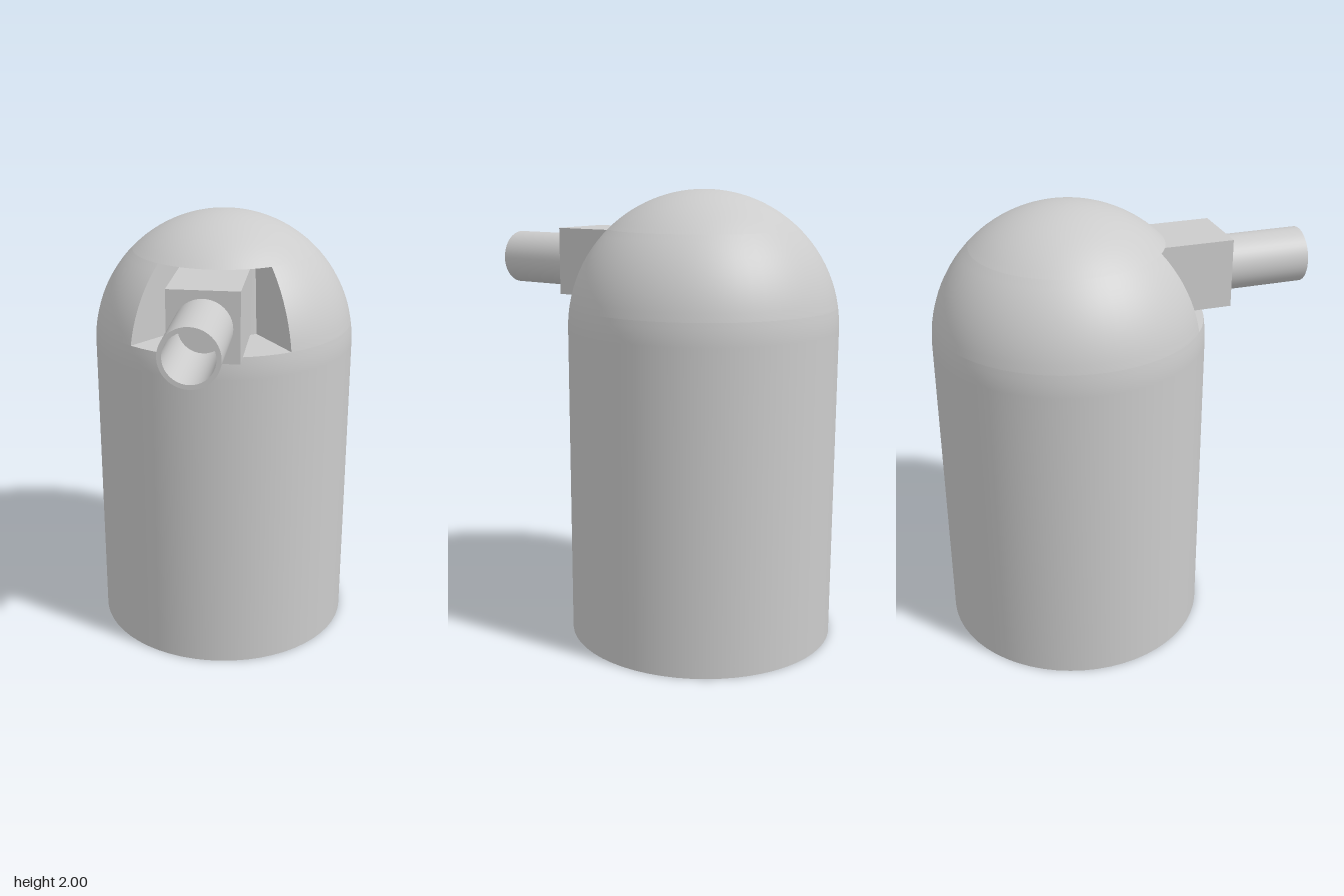
import * as THREE from 'three';

const R = 0.597;              // body radius
const CY = 2 - R;             // height of the dome centre
const FLOOR = 1.5, CEIL = 1.83; // opening bottom and top
const HALF = Math.PI / 5;     // half angle of the opening
const IN_LOW = 0.298, IN_HIGH = 0.281; // depth radii of the opening's back

const material = new THREE.MeshStandardMaterial({ color: 0xcccccc });
const openMaterial = new THREE.MeshStandardMaterial({ color: 0xcccccc, side: THREE.DoubleSide });

const V = (x, y) => new THREE.Vector2(x, y);

function add(parent, name, geometry, mat = material) {
  const mesh = new THREE.Mesh(geometry, mat);
  mesh.name = name;
  parent.add(mesh);
  return mesh;
}

// Points on the dome's profile between two heights
function domeArc(y0, y1, steps) {
  const a0 = Math.asin((y0 - CY) / R);
  const a1 = Math.asin(Math.min(1, (y1 - CY) / R));
  return Array.from({ length: steps + 1 }, (_, i) => {
    const a = a0 + (a1 - a0) * i / steps;
    return V(Math.max(0, R * Math.cos(a)), CY + R * Math.sin(a));
  });
}

export function createModel() {
  const model = new THREE.Group();
  model.name = 'domedTurret';

  const body = new THREE.Group();
  body.name = 'body';
  body.position.z = -0.24;
  model.add(body);

  // Domed shell, with the opening left out of the middle band
  const band = domeArc(FLOOR, CEIL, 10);
  add(body, 'base', new THREE.LatheGeometry([V(0, 0), V(R, 0)], 60));
  add(body, 'column', new THREE.LatheGeometry([V(R, 0), ...domeArc(CY, FLOOR, 4)], 60));
  add(body, 'domeBand', new THREE.LatheGeometry(band, 48, HALF, 2 * Math.PI - 2 * HALF));
  add(body, 'domeCap', new THREE.LatheGeometry(domeArc(CEIL, 2, 14), 60));

  // Floor, back and ceiling of the opening
  const corners = [band[0], V(IN_LOW, FLOOR), V(IN_HIGH, CEIL), band[band.length - 1]];
  ['openingFloor', 'openingBack', 'openingCeiling'].forEach((name, i) => {
    add(body, name, new THREE.LatheGeometry([corners[i], corners[i + 1]], 12, -HALF, 2 * HALF), openMaterial);
  });

  // Radial side walls of the opening
  const wall = new THREE.ShapeGeometry(new THREE.Shape([V(IN_LOW, FLOOR), ...band, V(IN_HIGH, CEIL)]));
  for (const side of [-1, 1]) {
    add(body, side > 0 ? 'leftOpeningWall' : 'rightOpeningWall', wall, openMaterial)
      .rotation.y = side * HALF - Math.PI / 2;
  }

  // Gun block reaching back into the opening
  const block = add(model, 'gunBlock', new THREE.BoxGeometry(0.305, 0.305, 0.48));
  block.position.set(0, 1.665, 0.22);

  // Hollow barrel, each surface separate to keep crisp rims
  const barrel = new THREE.Group();
  barrel.name = 'barrel';
  barrel.position.set(0, 1.66, 0.45);
  barrel.rotation.x = Math.PI / 2;
  model.add(barrel);
  const len = 0.39, outer = 0.123, bore = 0.104;
  const profile = [V(outer, 0), V(outer, len), V(bore, len), V(bore, 0.015), V(0, 0.015)];
  ['barrelSide', 'muzzleRim', 'boreWall', 'boreEnd'].forEach((name, i) => {
    add(barrel, name, new THREE.LatheGeometry([profile[i], profile[i + 1]], 40));
  });

  return model;
}
